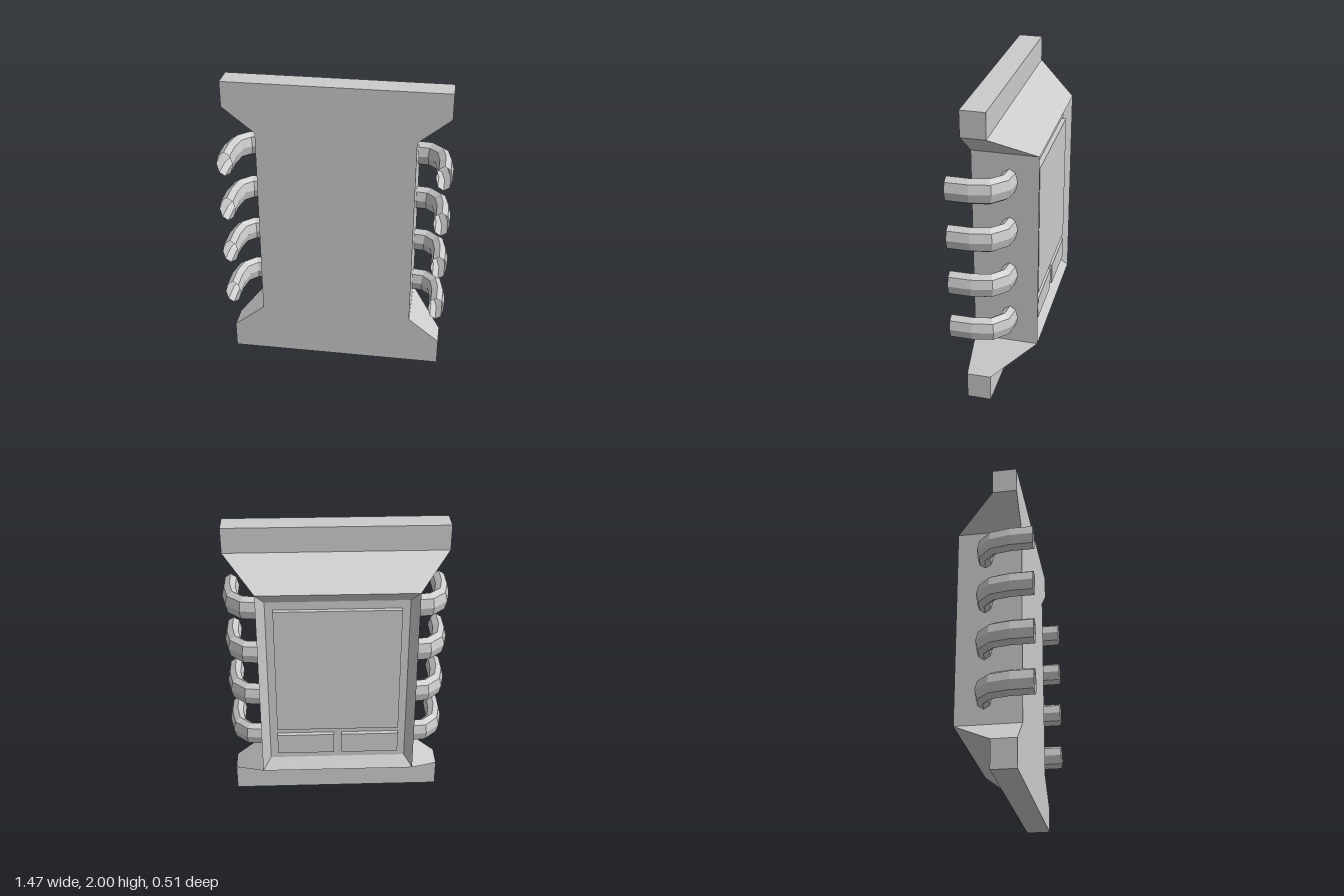
import * as THREE from 'three';

const material = new THREE.MeshStandardMaterial({ color: 0xcccccc, flatShading: true });
const openMaterial = new THREE.MeshStandardMaterial({ color: 0xcccccc, flatShading: true, side: THREE.DoubleSide });

// Collects convex flat polygons, each wound to face along its outward hint
function faceBuilder() {
  const out = [];
  const add = (pts, hint) => {
    const v = pts.map((p) => new THREE.Vector3(...p));
    const n = v[1].clone().sub(v[0]).cross(v[2].clone().sub(v[0]));
    if (n.dot(new THREE.Vector3(...hint)) < 0) v.reverse();
    for (let i = 1; i < v.length - 1; i++) {
      for (const q of [v[0], v[i], v[i + 1]]) out.push(q.x, q.y, q.z);
    }
  };
  const build = () => {
    const g = new THREE.BufferGeometry();
    g.setAttribute('position', new THREE.Float32BufferAttribute(out, 3));
    g.computeVertexNormals();
    return g;
  };
  return { add, build };
}

// Plate with flared ends, sloping up to a bevelled recess on the back
function bodyGeometry() {
  const W = 0.71, w = 0.505, F = 0.155, B = -0.26, D = -0.21, fw = 0.45;
  const waist = [0.345, 1.67], floor = [0.42, 1.6];
  const ends = [
    { dir: -1, tip: 0, base: 0.18, neck: waist[0], inner: floor[0] },
    { dir: 1, tip: 2, base: 1.835, neck: waist[1], inner: floor[1] },
  ];
  const { add, build } = faceBuilder();
  // Full-width strip between two half-widths, heights and depths
  const strip = (x1, y1, z1, x2, y2, z2, hint) =>
    add([[-x1, y1, z1], [x1, y1, z1], [x2, y2, z2], [-x2, y2, z2]], hint);

  for (const { dir, tip, base, neck, inner } of ends) {
    strip(W, tip, F, W, tip, 0, [0, dir, 0]);
    strip(W, tip, 0, W, base, 0, [0, 0, -1]);
    strip(W, base, 0, w, neck, B, [0, dir, -1]);
    strip(w, neck, B, fw, inner, D, [0, -dir, -1]);
    strip(W, tip, F, W, base, F, [0, 0, 1]);
    strip(W, base, F, w, neck, F, [0, 0, 1]);
    for (const s of [-1, 1]) {
      add([[s * W, tip, F], [s * W, tip, 0], [s * W, base, 0], [s * W, base, F]], [s, 0, 0]);
      add([[s * W, base, F], [s * W, base, 0], [s * w, neck, B], [s * w, neck, F]], [s, -dir, 0]);
    }
  }
  strip(w, waist[0], F, w, waist[1], F, [0, 0, 1]);
  strip(fw, floor[0], D, fw, floor[1], D, [0, 0, -1]);
  for (const s of [-1, 1]) {
    add([[s * w, waist[0], F], [s * w, waist[0], B], [s * w, waist[1], B], [s * w, waist[1], F]], [s, 0, 0]);
    add([[s * w, waist[0], B], [s * fw, floor[0], D], [s * fw, floor[1], D], [s * w, waist[1], B]], [-s, 0, -1]);
  }
  return build();
}

// Open bent tube with an oval eight-sided section, swept in the x-z plane
function tubeGeometry(side) {
  const path = [[0.49, -0.08], [0.59, -0.068], [0.66, 0], [0.683, 0.115], [0.683, 0.255]]
    .map(([x, z]) => new THREE.Vector2(x, z));
  const sides = 8, a = 0.052, b = 0.083;
  const pos = [], index = [];
  path.forEach((p, i) => {
    const prev = path[Math.max(i - 1, 0)], next = path[Math.min(i + 1, path.length - 1)];
    const t = i === 0 ? new THREE.Vector2(1, 0) : next.clone().sub(prev).normalize();
    for (let k = 0; k < sides; k++) {
      const ang = (k / sides) * Math.PI * 2;
      const o = a * Math.cos(ang);
      pos.push(side * (p.x + t.y * o), b * Math.sin(ang), p.y - t.x * o);
      if (i === 0) continue;
      const k2 = (k + 1) % sides;
      const p0 = (i - 1) * sides + k, p1 = (i - 1) * sides + k2;
      const q0 = i * sides + k, q1 = i * sides + k2;
      if (side > 0) index.push(p0, p1, q1, p0, q1, q0);
      else index.push(p0, q1, p1, p0, q0, q1);
    }
  });
  const g = new THREE.BufferGeometry();
  g.setAttribute('position', new THREE.Float32BufferAttribute(pos, 3));
  g.setIndex(index);
  g.computeVertexNormals();
  return g;
}

export function createModel() {
  const group = new THREE.Group();
  const addMesh = (name, geometry, mat = material) => {
    const m = new THREE.Mesh(geometry, mat);
    m.name = name;
    group.add(m);
    return m;
  };

  addMesh('body', bodyGeometry());

  // Raised pads on the recess floor
  const pad = (name, x, y, width, height) =>
    addMesh(name, new THREE.BoxGeometry(width, height, 0.04)).position.set(x, y, -0.22);
  pad('mainPanel', 0, 1.106, 0.8, 0.88);
  pad('leftSmallPanel', 0.213, 0.547, 0.375, 0.145);
  pad('rightSmallPanel', -0.213, 0.547, 0.375, 0.145);

  // Four bent tubes on each side
  for (const [name, side] of [['left', 1], ['right', -1]]) {
    const geometry = tubeGeometry(side);
    for (let i = 0; i < 4; i++) {
      addMesh(`${name}Tube${i + 1}`, geometry, openMaterial).position.y = 0.525 + i * 0.322;
    }
  }
  return group;
}
